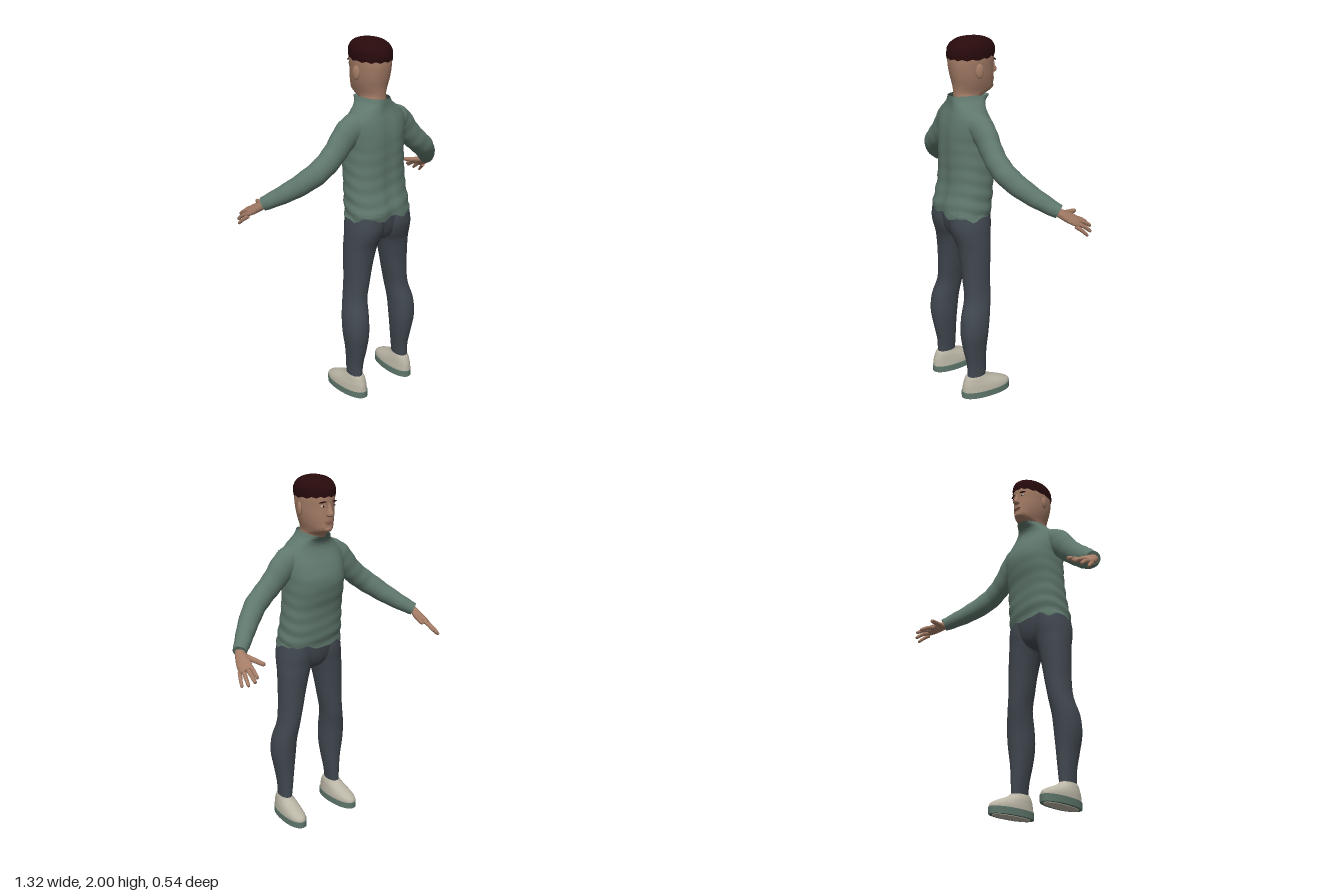
import * as THREE from 'three';
import { toCreasedNormals } from 'three/addons/utils/BufferGeometryUtils.js';

const mat = (name, color, side = THREE.FrontSide) => {
  const m = new THREE.MeshStandardMaterial({ color, side });
  m.name = name;
  return m;
};

// Catmull-Rom resampling of rows of numbers
function resample(rows, sub) {
  const out = [], n = rows.length;
  for (let i = 0; i < n - 1; i++) {
    const [p, q, r, s] = [-1, 0, 1, 2].map(k => rows[Math.min(n - 1, Math.max(0, i + k))]);
    for (let k = 0; k < sub; k++) {
      const t = k / sub;
      out.push(q.map((v, c) => v + 0.5 * t * (r[c] - p[c] + t * (2 * p[c] - 5 * v + 4 * r[c] - s[c]
        + t * (3 * (v - r[c]) + s[c] - p[c])))));
    }
  }
  out.push(rows[n - 1]);
  return out;
}

// Skin over superellipse rings [x, y, z, a, b]; horizontal rings unless a side axis is given
function loft(rows, { sub = 4, seg = 28, p = 2, side = null, warp = null, capStart = true, capEnd = true } = {}) {
  const R = resample(rows, sub), n = R.length, pos = [], idx = [];
  const P = R.map(r => new THREE.Vector3(r[0], r[1], r[2]));
  const bend = v => Math.sign(v) * Math.pow(Math.abs(v), 2 / p);
  R.forEach((r, i) => {
    const A = new THREE.Vector3(1, 0, 0), t = new THREE.Vector3(0, 1, 0);
    if (side) {
      t.subVectors(P[Math.min(n - 1, i + 1)], P[Math.max(0, i - 1)]).normalize();
      A.copy(side).addScaledVector(t, -side.dot(t)).normalize();
    }
    const B = new THREE.Vector3().crossVectors(t, A);
    for (let j = 0; j < seg; j++) {
      const th = j / seg * Math.PI * 2;
      const v = P[i].clone().addScaledVector(A, r[3] * bend(Math.cos(th))).addScaledVector(B, r[4] * bend(Math.sin(th)));
      if (warp) warp(v, th, i / (n - 1), P[i]);
      pos.push(v.x, v.y, v.z);
    }
  });
  for (let i = 0; i < n - 1; i++) for (let j = 0; j < seg; j++) {
    const a = i * seg + j, b = i * seg + (j + 1) % seg;
    idx.push(a, b, a + seg, b, b + seg, a + seg);
  }
  const cap = (row, flip) => {
    const c = pos.length / 3;
    pos.push(P[row].x, P[row].y, P[row].z);
    for (let j = 0; j < seg; j++) {
      const a = row * seg + j, b = row * seg + (j + 1) % seg;
      idx.push(c, flip ? b : a, flip ? a : b);
    }
  };
  if (capStart) cap(0, true);
  if (capEnd) cap(n - 1, false);
  const g = new THREE.BufferGeometry();
  g.setAttribute('position', new THREE.Float32BufferAttribute(pos, 3));
  g.setIndex(idx);
  return toCreasedNormals(g, 1.0);
}

// Horizontal ring from its extents
const ring = (y, x0, x1, z0, z1) => [(x0 + x1) / 2, y, (z0 + z1) / 2, (x1 - x0) / 2, (z1 - z0) / 2];
const mid = (y, z0, z1, w) => ring(y, -w, w, z0, z1);

export function createModel() {
  const model = new THREE.Group();
  model.name = 'standingFigure';
  const skin = mat('skin', 0xa47c66), green = mat('sweaterGreen', 0x5f776c, THREE.DoubleSide);
  const slate = mat('trouserSlate', 0x414850), cream = mat('shoeCream', 0xbab5a5);
  const hairMat = mat('hairDark', 0x280a0c), lipMat = mat('lips', 0x8a5c50), white = mat('eyeWhite', 0xc4bcb2);

  const add = (name, geo, m, parent = model) => {
    const mesh = new THREE.Mesh(geo, m);
    mesh.name = name;
    parent.add(mesh);
    return mesh;
  };
  const blob = (name, m, x, y, z, sx, sy, sz) => {
    const b = add(name, new THREE.SphereGeometry(1, 16, 12), m);
    b.position.set(x, y, z);
    b.scale.set(sx, sy, sz);
    return b;
  };

  // Sweater body with soft folds, wavy hem and flared collar
  add('sweaterBody', loft([
    mid(1.07, 0.0, 0.262, 0.19), mid(1.1, -0.005, 0.265, 0.189), mid(1.15, -0.015, 0.255, 0.184),
    mid(1.22, -0.02, 0.238, 0.18), mid(1.3, -0.03, 0.232, 0.175), mid(1.38, -0.05, 0.232, 0.173),
    mid(1.46, -0.058, 0.232, 0.172), mid(1.53, -0.035, 0.228, 0.176), mid(1.59, -0.002, 0.216, 0.172),
    mid(1.63, 0.012, 0.205, 0.145), mid(1.66, 0.005, 0.2, 0.108), mid(1.68, -0.015, 0.2, 0.082),
    mid(1.705, -0.035, 0.2, 0.067),
  ], {
    sub: 5, seg: 48, p: 2.3, capStart: false, capEnd: false,
    warp: (v, th, t, c) => {
      const low = Math.max(0, 1 - t * 1.6);
      const fold = 1 + 0.022 * low * Math.sin(v.y * 85 + 2 * Math.sin(th * 2));
      v.x *= fold;
      v.z = c.z + (v.z - c.z) * fold;
      // hem wave, back crease, dip in the collar front
      if (t < 0.06) v.y += 0.009 * Math.sin(th * 7) + 0.005 * Math.sin(th * 12 + 1);
      if (v.z > 0.15) v.z -= 0.015 * Math.exp(-((v.x / 0.03) ** 2)) * Math.max(0, 1 - t * 0.8);
      if (t > 0.9) v.y -= 0.015 * Math.max(0, Math.sin(th)) * (t - 0.9) * 10;
    },
  }), green);

  // Pelvis joining both legs
  add('trouserSeat', loft([mid(0.92, 0.09, 0.15, 0.03), mid(0.94, 0.05, 0.2, 0.08), mid(0.99, 0.025, 0.225, 0.16),
    mid(1.06, 0.012, 0.235, 0.182), mid(1.13, 0.012, 0.232, 0.17)]), slate);

  // Head and neck
  add('head', loft([
    mid(1.64, 0.03, 0.165, 0.062), mid(1.695, 0.005, 0.165, 0.062), mid(1.712, -0.035, 0.165, 0.063),
    mid(1.73, -0.059, 0.166, 0.068), mid(1.76, -0.061, 0.17, 0.078), mid(1.8, -0.061, 0.18, 0.087),
    mid(1.85, -0.06, 0.189, 0.092), mid(1.89, -0.063, 0.191, 0.094), mid(1.93, -0.056, 0.185, 0.09),
    mid(1.965, -0.02, 0.15, 0.06),
  ], {
    seg: 40, p: 2.3,
    warp: (v) => { // face narrower than the skull
      if (v.z < 0.06) v.x *= 1 - 0.16 * Math.min(1, (0.06 - v.z) / 0.1);
    },
  }), skin);

  // Cropped hair cap with an uneven, curly surface
  add('hair', loft([
    mid(1.892, -0.066, 0.195, 0.098), mid(1.915, -0.068, 0.197, 0.1), mid(1.945, -0.065, 0.192, 0.098),
    mid(1.97, -0.05, 0.175, 0.085), mid(1.988, -0.02, 0.145, 0.063), mid(1.997, 0.015, 0.115, 0.036),
    mid(2.0, 0.05, 0.08, 0.008),
  ], {
    seg: 56, p: 2.2,
    warp: (v, th, t, c) => {
      if (v.z < 0.06) v.x *= 1 - 0.15 * Math.min(1, (0.06 - v.z) / 0.1);
      const curl = 1 + 0.012 * Math.sin(th * 19 + t * 25) * Math.sin(t * 60) * (1 - t);
      v.x *= curl;
      v.z = c.z + (v.z - c.z) * curl;
      if (t < 0.1) v.y += 0.012 * Math.max(0, Math.sin(th)) + 0.004 * Math.sin(th * 14);
    },
  }), hairMat);

  // Nose and lips
  add('nose', loft([mid(1.799, -0.066, -0.03, 0.01), mid(1.806, -0.085, -0.03, 0.018), mid(1.818, -0.09, -0.03, 0.016),
    mid(1.842, -0.077, -0.03, 0.011), mid(1.875, -0.063, -0.03, 0.008)], { seg: 16 }), skin);
  blob('upperLip', lipMat, 0, 1.775, -0.058, 0.026, 0.005, 0.009);
  blob('lowerLip', lipMat, 0, 1.766, -0.058, 0.022, 0.006, 0.009);
  blob('chin', skin, 0, 1.735, -0.045, 0.028, 0.018, 0.02);

  for (const s of [1, -1]) {
    const side = s > 0 ? 'left' : 'right';
    const flip = rows => rows.map(r => [r[0] * s, ...r.slice(1)]);

    // Ear, eye and brow
    const ear = blob(side + 'Ear', skin, s * 0.096, 1.832, 0.072, 0.011, 0.038, 0.022);
    ear.rotation.y = s * -0.25;
    blob(side + 'Eye', white, s * 0.034, 1.856, -0.05, 0.014, 0.006, 0.007);
    blob(side + 'Iris', hairMat, s * 0.034, 1.856, -0.0545, 0.005, 0.005, 0.004);
    const brow = blob(side + 'Brow', hairMat, s * 0.036, 1.877, -0.053, 0.021, 0.004, 0.007);
    brow.rotation.set(0, s * -0.25, s * -0.1);

    // Trouser leg
    add(side + 'TrouserLeg', loft(flip([
      ring(0.11, 0.142, 0.207, 0.088, 0.198), ring(0.2, 0.13, 0.21, 0.086, 0.2), ring(0.3, 0.115, 0.222, 0.084, 0.22),
      ring(0.4, 0.104, 0.238, 0.076, 0.234), ring(0.5, 0.1, 0.235, 0.065, 0.226), ring(0.6, 0.09, 0.213, 0.05, 0.198),
      ring(0.7, 0.07, 0.204, 0.045, 0.198), ring(0.8, 0.05, 0.203, 0.04, 0.203), ring(0.9, 0.026, 0.201, 0.032, 0.216),
      ring(0.96, 0.004, 0.198, 0.028, 0.236), ring(1.02, -0.004, 0.193, 0.02, 0.25), ring(1.1, 0.0, 0.178, 0.02, 0.245),
    ]), { p: 2.2 }), slate);

    // Shoe upper, sole and inset under the sole
    const toe = { seg: 36, p: 2.2, warp: v => { v.x += s * (0.1 - v.z) * 0.05; } };
    add(side + 'ShoeUpper', loft(flip([
      ring(0.035, 0.118, 0.234, -0.062, 0.232), ring(0.058, 0.12, 0.232, -0.058, 0.23), ring(0.08, 0.124, 0.228, -0.02, 0.227),
      ring(0.1, 0.128, 0.222, 0.03, 0.22), ring(0.117, 0.133, 0.217, 0.068, 0.213), ring(0.13, 0.138, 0.212, 0.083, 0.205),
    ]), toe), cream);
    add(side + 'ShoeSole', loft(flip([ring(0.003, 0.114, 0.236, -0.064, 0.234), ring(0.04, 0.114, 0.236, -0.066, 0.235)]),
      { ...toe, sub: 1 }), green);
    add(side + 'SoleInset', loft(flip([ring(0, 0.133, 0.217, -0.045, 0.215), ring(0.005, 0.133, 0.217, -0.045, 0.215)]),
      { ...toe, sub: 1 }), cream);

    // Sleeve from shoulder to cuff
    const up = new THREE.Vector3(0, 0, 1);
    add(side + 'Sleeve', loft(flip([
      [0.09, 1.575, 0.11, 0.07, 0.07], [0.14, 1.56, 0.105, 0.068, 0.076], [0.19, 1.525, 0.1, 0.06, 0.075],
      [0.25, 1.46, 0.1, 0.056, 0.066], [0.31, 1.405, 0.099, 0.056, 0.062], [0.38, 1.35, 0.082, 0.057, 0.06],
      [0.46, 1.285, 0.025, 0.053, 0.053], [0.53, 1.232, -0.04, 0.045, 0.044], [0.583, 1.196, -0.09, 0.037, 0.036],
    ]), {
      side: up, sub: 5,
      warp: (v, th, t, c) => v.sub(c).multiplyScalar(1 + 0.02 * Math.sin(t * 55 + th)).add(c),
    }), green);

    // Hand: palm, thumb and four fingers
    const hand = new THREE.Group();
    hand.name = side + 'Hand';
    model.add(hand);
    const across = new THREE.Vector3(s * 0.05, -0.035, 0.012);
    add('palm', loft(flip([
      [0.57, 1.207, -0.07, 0.026, 0.022], [0.586, 1.185, -0.1, 0.028, 0.021], [0.596, 1.162, -0.137, 0.037, 0.019],
      [0.605, 1.141, -0.175, 0.039, 0.016], [0.609, 1.132, -0.193, 0.033, 0.011],
    ]), { side: across, seg: 20 }), skin, hand);
    const digits = {
      thumb: [[0.572, 1.178, -0.115], [0.55, 1.168, -0.165], [0.527, 1.158, -0.235], 0.014],
      indexFinger: [[0.581, 1.153, -0.172], [0.585, 1.135, -0.22], [0.588, 1.108, -0.264], 0.0105],
      middleFinger: [[0.599, 1.141, -0.177], [0.605, 1.122, -0.228], [0.608, 1.092, -0.275], 0.011],
      ringFinger: [[0.616, 1.128, -0.174], [0.628, 1.106, -0.217], [0.636, 1.074, -0.256], 0.0105],
      littleFinger: [[0.63, 1.117, -0.163], [0.644, 1.094, -0.192], [0.655, 1.064, -0.222], 0.0095],
    };
    for (const [name, [a, b, c, r]] of Object.entries(digits)) {
      const near = c.map((v, i) => v + (b[i] - v) * 0.15);
      add(name, loft(flip([[...a, r * 1.15, r * 1.15], [...b, r, r], [...near, r * 0.8, r * 0.8], [...c, r * 0.2, r * 0.2]]),
        { side: across, seg: 12 }), skin, hand);
    }
  }
  return model;
}
